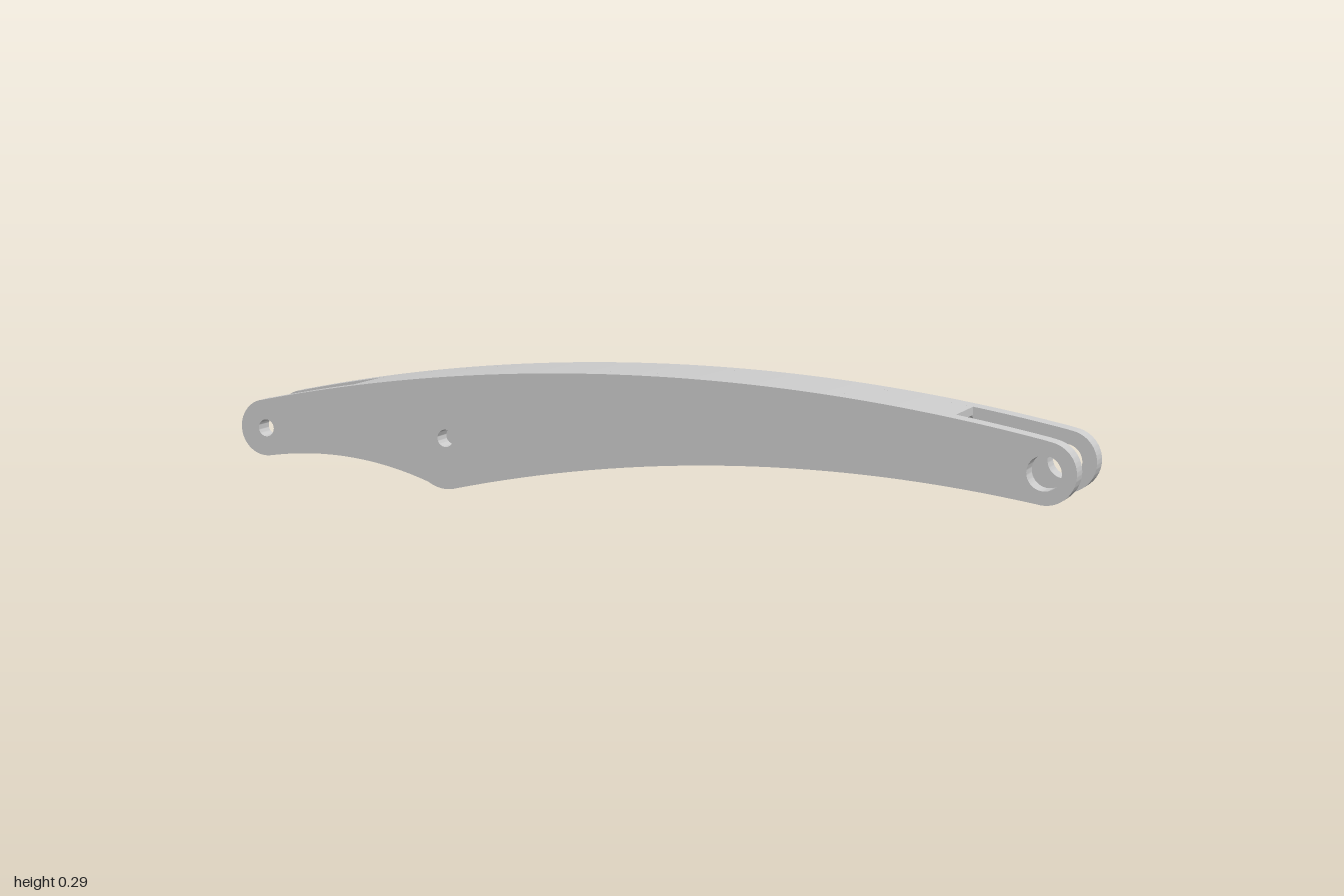
import * as THREE from 'three';
import { toCreasedNormals } from 'three/addons/utils/BufferGeometryUtils.js';

const OUTER = 0.11, INNER = 0.065; // half width of the arm and of the channel
const CROWN = { x: 0.03, y: -4.275, r: 4.56 }; // circle of the arched top
const crownY = (x) => CROWN.y + Math.sqrt(CROWN.r ** 2 - (x - CROWN.x) ** 2);

// Side outline with rounded ends, a pivot bulge underneath and three pin holes
function plateShape() {
  const half = Math.PI / 2;
  const s = new THREE.Shape();
  s.moveTo(-0.9215, 0.05);
  s.quadraticCurveTo(-0.71, 0.085, -0.51, 0.014);
  s.quadraticCurveTo(-0.475, -0.007, -0.44, 0.003);
  s.quadraticCurveTo(0.24, 0.165, 0.921, 0.058);
  s.absarc(0.932, 0.125, 0.068, -half - 0.16, half - 0.199, false);
  s.absarc(CROWN.x, CROWN.y, CROWN.r, half - 0.199, half + 0.215, false);
  s.absarc(-0.934, 0.115, 0.066, half + 0.215, 3 * half + 0.19, false);
  for (const [x, y, r] of [[-0.934, 0.114, 0.02], [-0.465, 0.117, 0.02], [0.93, 0.125, 0.038]]) {
    s.holes.push(new THREE.Path().absarc(x, y, r, 0, Math.PI * 2, true));
  }
  return s;
}

// Top web: filleted cross-section run along x and bent to follow the crown
function webGeometry() {
  const length = 1.45, t = 0.018, f = 0.01;
  const s = new THREE.Shape();
  s.moveTo(-INNER, 0);
  s.lineTo(-INNER, -t - f);
  s.absarc(-INNER + f, -t - f, f, Math.PI, Math.PI / 2, true);
  s.lineTo(INNER - f, -t);
  s.absarc(INNER - f, -t - f, f, Math.PI / 2, 0, true);
  s.lineTo(INNER, 0);
  const geo = new THREE.ExtrudeGeometry(s, { depth: length, steps: 40, curveSegments: 6, bevelEnabled: false });
  geo.translate(0, 0, -length / 2).rotateY(Math.PI / 2);
  const p = geo.attributes.position;
  for (let i = 0; i < p.count; i++) p.setY(i, p.getY(i) + crownY(p.getX(i)));
  return toCreasedNormals(geo, 0.5);
}

export function createModel() {
  const group = new THREE.Group();
  group.name = 'liftArm';
  const material = new THREE.MeshStandardMaterial({ color: 0xcccccc });
  const add = (name, geo, z = 0) => {
    const mesh = new THREE.Mesh(geo, material);
    mesh.name = name;
    mesh.position.z = z;
    group.add(mesh);
  };

  // Matching side plates
  const plate = toCreasedNormals(new THREE.ExtrudeGeometry(plateShape(), {
    depth: OUTER - INNER, curveSegments: 32, bevelEnabled: false,
  }), 0.5);
  add('frontPlate', plate, INNER);
  add('backPlate', plate, -OUTER);

  // Web joining the plates, leaving an open fork at each end
  add('topWeb', webGeometry());
  return group;
}
